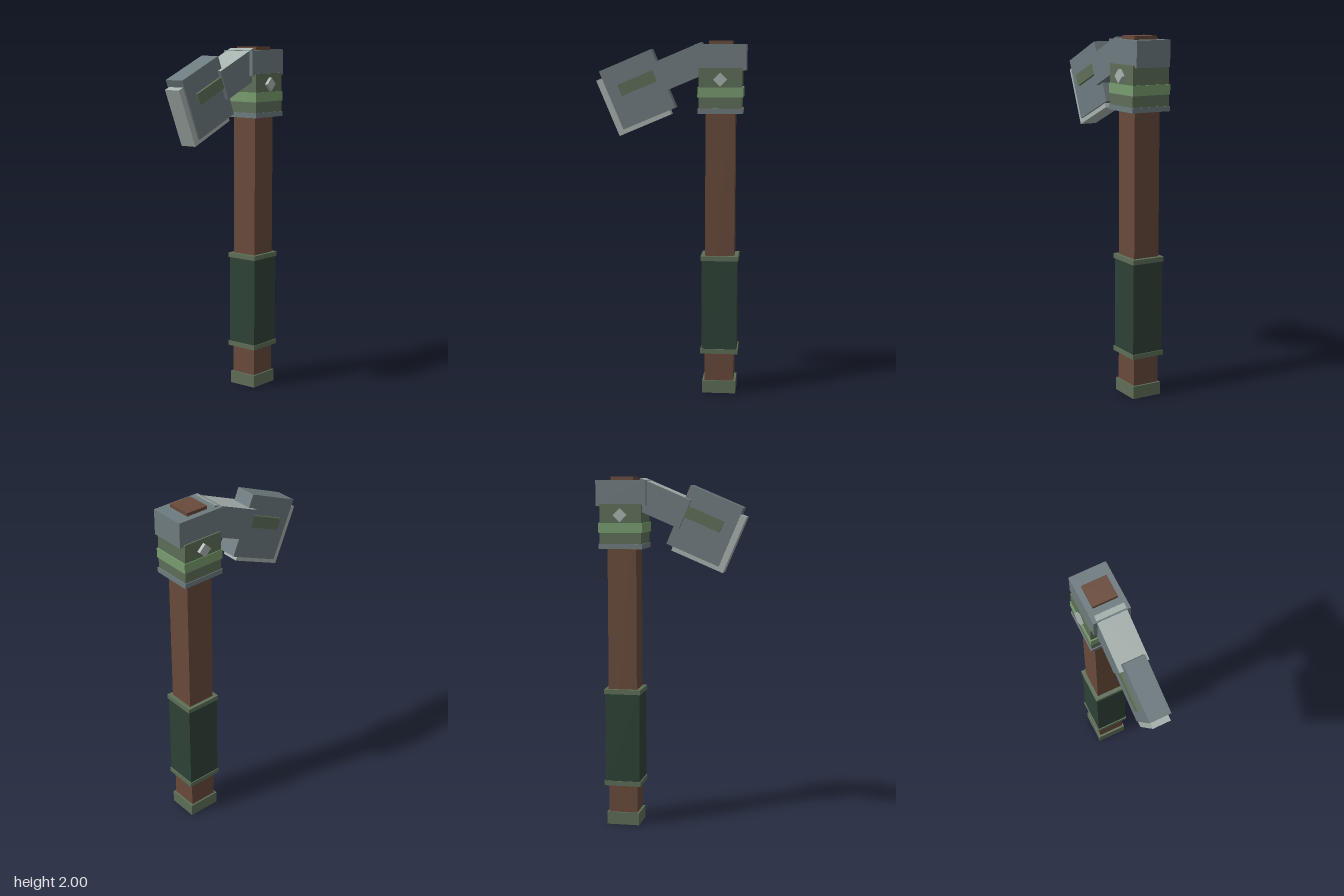
import * as THREE from 'three';

const flat = (name, color) => {
  const m = new THREE.MeshStandardMaterial({ color });
  m.name = name;
  return m;
};

export function createModel() {
  const wood = flat('brown wood', 0x684a3a);
  const leather = flat('dark green leather', 0x2d4236);
  const green = flat('dull green', 0x5d6e57);
  const bright = flat('bright green', 0x789c6e);
  const steel = flat('grey steel', 0x6e7b7f);
  const pale = flat('pale steel', 0xa7b3af);

  const box = (parent, name, mat, w, h, d, x, y, z = 0) => {
    const mesh = new THREE.Mesh(new THREE.BoxGeometry(w, h, d), mat);
    mesh.name = name;
    mesh.position.set(x, y, z);
    parent.add(mesh);
    return mesh;
  };

  const model = new THREE.Group();
  model.name = 'hammer';

  // Everything on the handle axis: name, material, width, depth, bottom, top
  const handle = new THREE.Group();
  handle.name = 'handle';
  handle.position.x = 0.276;
  model.add(handle);
  [
    ['pommel', green, 0.19, 0.176, 0, 0.072],
    ['shaft', wood, 0.165, 0.156, 0.03, 1.96],
    ['shaftTip', wood, 0.13, 0.14, 1.95, 2.0],
    ['grip', leather, 0.2, 0.186, 0.245, 0.785],
    ['lowerGripRing', green, 0.212, 0.196, 0.233, 0.26],
    ['upperGripRing', green, 0.212, 0.196, 0.77, 0.797],
    ['collar', green, 0.238, 0.226, 1.61, 1.85],
    ['collarBand', bright, 0.252, 0.234, 1.69, 1.745],
    ['collarRing', steel, 0.25, 0.234, 1.6, 1.628],
    ['headCap', steel, 0.286, 0.208, 1.838, 1.981],
  ].forEach(([name, mat, w, d, y0, y1]) =>
    box(handle, name, mat, w, y1 - y0, d, 0, (y0 + y1) / 2));

  // Diamond studs on the front and back of the collar
  for (const s of [1, -1]) {
    const stud = box(handle, s > 0 ? 'frontStud' : 'backStud', pale, 0.054, 0.054, 0.03, 0, 1.788, s * 0.117);
    stud.rotation.z = Math.PI / 4;
  }

  // Tilted head, laid out in its own axes around the centre of the block
  const head = new THREE.Group();
  head.name = 'head';
  head.position.set(-0.191, 1.73, 0);
  head.rotation.z = 0.4;
  model.add(head);
  box(head, 'headBlock', steel, 0.319, 0.352, 0.12, 0, 0);
  box(head, 'strikingPlate', pale, 0.317, 0.336, 0.1, -0.037, -0.033);
  box(head, 'inlayBar', green, 0.24, 0.066, 0.15, 0.028, 0.033);

  // Neck with a pale upper face (box face order: +x -x +y -y +z -z)
  box(head, 'neck', [steel, steel, pale, steel, steel, steel], 0.31, 0.17, 0.166, 0.278, 0.017);

  return model;
}
